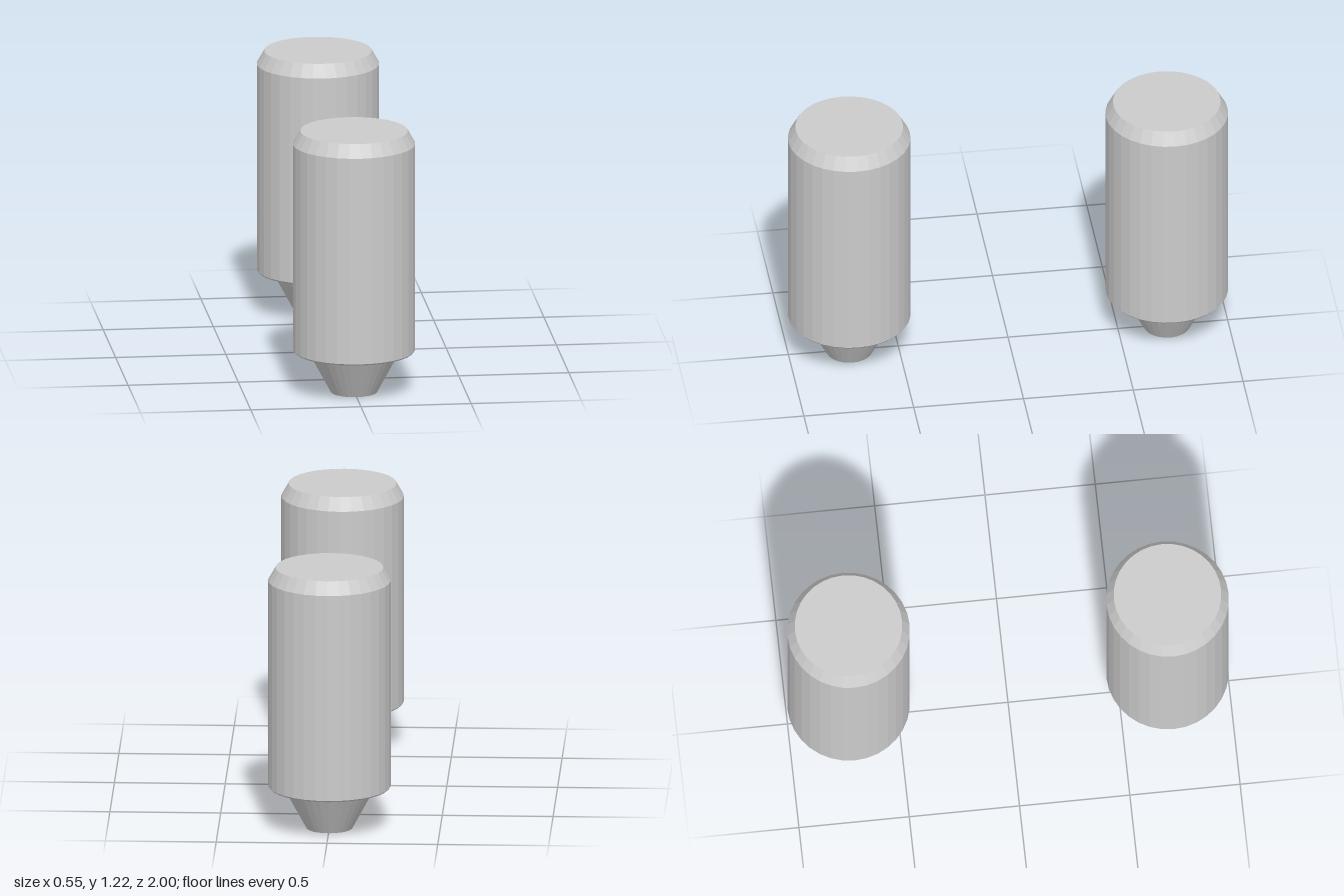
import * as THREE from 'three';

const SIDES = 32;
const material = new THREE.MeshStandardMaterial({ color: 0xcccccc, flatShading: true });

// Turn a profile of [radius, height] points, listed from the bottom up
function turned(name, profile) {
  const points = profile.map(([r, y]) => new THREE.Vector2(r, y));
  const mesh = new THREE.Mesh(new THREE.LatheGeometry(points, SIDES), material);
  mesh.name = name;
  return mesh;
}

function createPin(name) {
  const pin = new THREE.Group();
  pin.name = name;
  pin.add(
    // Cylinder with a chamfered top and a slightly eased bottom edge
    turned('body', [
      [0.22, 0.19], [0.271, 0.19], [0.277, 0.197], [0.277, 1.155], [0.243, 1.215], [0, 1.215],
    ]),
    // Tapered tip with a shallow blind hole and a flared collar under the body
    turned('tip', [
      [0, 0.05], [0.092, 0.05], [0.092, 0], [0.105, 0], [0.2, 0.176], [0.22, 0.19],
    ]),
  );
  return pin;
}

export function createModel() {
  const model = new THREE.Group();
  model.name = 'pinPair';
  for (const [name, z] of [['frontPin', 0.723], ['backPin', -0.723]]) {
    const pin = createPin(name);
    pin.position.z = z;
    model.add(pin);
  }
  return model;
}
